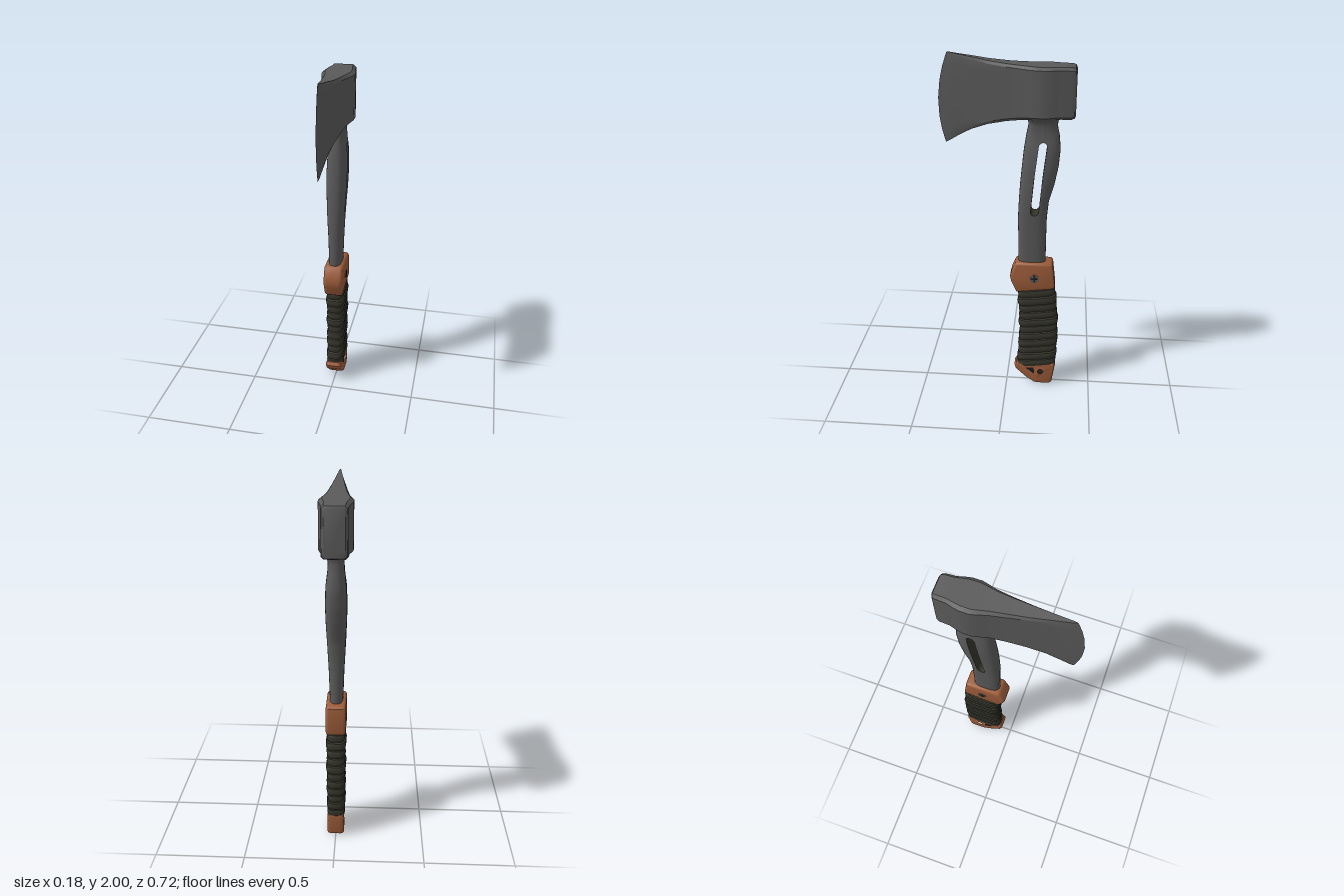
import * as THREE from 'three';
import { toCreasedNormals } from 'three/addons/utils/BufferGeometryUtils.js';

const mat = (name, color, extra = {}) =>
  Object.assign(new THREE.MeshStandardMaterial({ color, ...extra }), { name });

// Piecewise-linear lookup: table rows are [key, value, value, ...]
function at(table, k, col) {
  let i = 1;
  while (i < table.length - 1 && k > table[i][0]) i++;
  const a = table[i - 1], b = table[i];
  const t = THREE.MathUtils.clamp((k - a[0]) / (b[0] - a[0]), 0, 1);
  return a[col] + (b[col] - a[col]) * t;
}

// Skin a list of equal-length cross-sections, optionally closed and capped
function loft(rows, { closed = true, caps = false, crease = 0.6 } = {}) {
  const n = rows[0].length, pos = rows.flat(2), idx = [];
  for (let i = 0; i < rows.length - 1; i++)
    for (let j = 0; j < (closed ? n : n - 1); j++) {
      const a = i * n + j, b = i * n + (j + 1) % n;
      idx.push(a, b, b + n, a, b + n, a + n);
    }
  if (caps) {
    const last = (rows.length - 1) * n;
    for (let j = 1; j < n - 1; j++) idx.push(0, j + 1, j, last, last + j, last + j + 1);
  }
  const g = new THREE.BufferGeometry();
  g.setAttribute('position', new THREE.Float32BufferAttribute(pos, 3));
  g.setIndex(idx);
  return toCreasedNormals(g, crease);
}

// Side outline in (z, y), extruded symmetrically across x with rounded edges
function sidePlate(points, halfWidth, bevelSize, bevelThickness, hole) {
  const shape = new THREE.Shape(points.map(p => new THREE.Vector2(...p)));
  if (hole) shape.holes.push(new THREE.Path().absarc(hole[0], hole[1], hole[2], 0, Math.PI * 2, true));
  const depth = 2 * (halfWidth - bevelThickness);
  const g = new THREE.ExtrudeGeometry(shape, {
    depth, bevelEnabled: bevelSize > 0, bevelSize, bevelThickness,
    bevelOffset: -bevelSize, bevelSegments: 4, curveSegments: 20,
  });
  g.translate(0, 0, -depth / 2).rotateY(-Math.PI / 2);
  return toCreasedNormals(g, 0.7);
}

const superWidth = (w, u, n) => w * Math.pow(Math.max(0, 1 - Math.pow(Math.abs(u), n)), 1 / n);

// Axe head: sections from the poll to the cutting edge
function headGeometry() {
  // zBottom, zTop, edge bow, yBottom, yTop, half width
  const sections = [
    [-0.357, -0.357, 0, 1.69, 1.925, 0.052], [-0.35, -0.35, 0, 1.68, 1.938, 0.062],
    [-0.335, -0.335, 0, 1.675, 1.942, 0.068], [-0.28, -0.28, 0, 1.675, 1.943, 0.071],
    [-0.25, -0.25, 0, 1.674, 1.944, 0.08], [-0.21, -0.21, 0, 1.672, 1.944, 0.088],
    [-0.16, -0.16, 0, 1.672, 1.944, 0.088], [-0.12, -0.12, 0, 1.67, 1.945, 0.077],
    [-0.08, -0.08, 0, 1.668, 1.947, 0.066], [0, 0, 0, 1.657, 1.953, 0.053],
    [0.1, 0.1, 0, 1.635, 1.965, 0.038], [0.19, 0.185, 0.006, 1.602, 1.98, 0.024],
    [0.265, 0.25, 0.02, 1.56, 1.99, 0.013], [0.305, 0.287, 0.034, 1.535, 1.997, 0.007],
    [0.327, 0.308, 0.043, 1.522, 2.0, 0.0008],
  ];
  const rows = sections.map(([zb, zt, bow, yb, yt, w]) => {
    const c = 0.015 / (yt - yb);
    const side = [[0, 0.78], [c, 1], [0.15, 1], [0.3, 1], [0.5, 1], [0.7, 1], [0.85, 1], [1 - c, 1], [1, 0.78]];
    const point = (s, t, f) => [s * w * f, yb + (yt - yb) * t, zb + (zt - zb) * t + bow * 4 * t * (1 - t)];
    return [...side.map(([t, f]) => point(1, t, f)), ...side.reverse().map(([t, f]) => point(-1, t, f))];
  });
  return loft(rows, { caps: true, crease: 0.5 });
}

// Shaft: a front and a rear lobe that part around the long slot
function shaftGeometries() {
  // y, front z, back z, half width
  const table = [
    [0.78, -0.065, -0.22, 0.035], [1.0, -0.063, -0.22, 0.042], [1.1, -0.061, -0.221, 0.047],
    [1.2, -0.065, -0.23, 0.052], [1.3, -0.071, -0.258, 0.056], [1.4, -0.08, -0.277, 0.058],
    [1.5, -0.09, -0.285, 0.054], [1.58, -0.102, -0.277, 0.044], [1.63, -0.112, -0.266, 0.042],
    [1.655, -0.11, -0.269, 0.05], [1.675, -0.1, -0.28, 0.07], [1.69, -0.1, -0.28, 0.07],
  ];
  const y0 = 1.125, y1 = 1.545, r = 0.022, N = 14;
  const gap = y => {
    const d = Math.min(y - y0, y1 - y);
    return d <= 0 ? 0 : d < r ? Math.sqrt(r * r - (r - d) ** 2) : r;
  };
  const ys = table.map(q => q[0]);
  for (let i = 1; i < 10; i++) ys.push(y0 + (y1 - y0) * i / 10);
  for (const d of [0, 0.001, 0.004, 0.009, 0.015, r]) ys.push(y0 + d, y1 - d);
  ys.sort((a, b) => a - b);
  const lobes = { 1: [], '-1': [] }, walls = { 1: [], '-1': [] };
  for (const y of ys) {
    const zf = at(table, y, 1), zb = at(table, y, 2), w = at(table, y, 3);
    const mid = (zf + zb) / 2, half = (zf - zb) / 2;
    const centre = at([[y0, -0.152], [1.33, -0.17], [y1, -0.195]], y, 1);
    for (const s of [1, -1]) {
      const edge = centre + s * gap(y), end = s > 0 ? zf : zb, row = [];
      for (let j = 0; j <= N; j++) {
        const a = Math.PI * j / N, z = edge + (end - edge) * Math.sin(a);
        const x = j === N / 2 ? 0 : superWidth(w, (z - mid) / half, 2.7);
        row.push([-s * Math.sign(Math.cos(a)) * x, y, z]);
      }
      lobes[s].push(row);
      if (y >= y0 && y <= y1) walls[s].push([row[0], row[N]]);
    }
  }
  const open = { closed: false };
  return {
    lobes: [loft(lobes[1], open), loft(lobes[-1], open)],
    walls: [loft(walls[1], open), loft(walls[-1], open)],
  };
}

// Cord wrap: tilted, slightly uneven rounded bands
function wrapGeometry() {
  const table = [ // y, front z, back z, half width
    [0.12, -0.066, -0.29, 0.047], [0.25, -0.072, -0.298, 0.048], [0.4, -0.078, -0.298, 0.049],
    [0.52, -0.074, -0.29, 0.05], [0.66, -0.066, -0.275, 0.051],
  ];
  const bands = 11, step = 0.53 / bands, rows = [];
  for (let i = 0; i < bands; i++) {
    const uneven = 0.003 * Math.sin(i * 2.3);
    for (const [f, grow] of [[0, -0.009], [0.06, -0.001], [0.25, 0.003], [0.65, 0.004], [0.92, 0], [0.99, -0.009]]) {
      const y = 0.125 + (i + f) * step, row = [];
      const zf = at(table, y, 1), zb = at(table, y, 2), w = at(table, y, 3) + grow + uneven;
      const mid = (zf + zb) / 2, half = (zf - zb) / 2 + grow + uneven;
      for (let j = 0; j < 32; j++) {
        const a = Math.PI * 2 * j / 32, c = Math.cos(a), s = Math.sin(a);
        const x = w * Math.sign(c) * Math.pow(Math.abs(c), 0.5);
        const dz = -half * Math.sign(s) * Math.pow(Math.abs(s), 0.5);
        row.push([x, y - 0.13 * dz, mid + dz]);
      }
      rows.push(row);
    }
  }
  return loft(rows, { caps: true, crease: 0.7 });
}

export function createModel() {
  const group = new THREE.Group();
  const steel = mat('steel', 0x5a5a5b);
  const orange = mat('orange brown', 0x9c5c3a);
  const olive = mat('dark olive', 0x35352b, { side: THREE.DoubleSide });
  const dark = mat('near black', 0x1d1d1c);
  const add = (name, geometry, material) => {
    const m = new THREE.Mesh(geometry, material);
    m.name = name;
    group.add(m);
    return m;
  };

  add('axeHead', headGeometry(), steel);
  const shaft = shaftGeometries();
  shaft.lobes.forEach((g, i) => add(i ? 'shaftBack' : 'shaftFront', g, steel));
  shaft.walls.forEach((g, i) => add(i ? 'slotWallBack' : 'slotWallFront', g, olive));
  add('gripWrap', wrapGeometry(), olive);

  // Collar above the grip
  add('collar', sidePlate([
    [-0.058, 0.64], [-0.028, 0.705], [-0.02, 0.74], [-0.028, 0.772], [-0.048, 0.822], [-0.06, 0.832],
    [-0.25, 0.832], [-0.262, 0.822], [-0.278, 0.685], [-0.272, 0.668],
  ], 0.055, 0.016, 0.018), orange);

  // Pommel with lanyard hole
  const hole = [-0.205, 0.088];
  add('pommel', sidePlate([
    [-0.06, 0.145], [-0.048, 0.125], [-0.055, 0.1], [-0.115, 0.042], [-0.168, 0.004], [-0.185, 0],
    [-0.258, 0], [-0.276, 0.012], [-0.294, 0.13], [-0.29, 0.152],
  ], 0.047, 0.012, 0.022, [...hole, 0.028]), orange);
  const liner = new THREE.LatheGeometry(
    [[0.025, -0.034], [0.034, -0.034], [0.034, 0.034], [0.025, 0.034], [0.025, -0.034]]
      .map(p => new THREE.Vector2(...p)), 24);
  const eyelet = add('lanyardEyelet', toCreasedNormals(liner.rotateZ(Math.PI / 2), 0.6), dark);
  eyelet.position.set(0, hole[1], hole[0]);

  // Screws and lanyard notches on both sides
  for (const s of [1, -1]) {
    const head = add('screwHead', new THREE.CylinderGeometry(0.026, 0.026, 0.008, 24).rotateZ(Math.PI / 2), steel);
    head.position.set(s * 0.053, 0.735, -0.16);
    for (const size of [[0.04, 0.009], [0.009, 0.04]]) {
      const slot = add('screwSlot', new THREE.BoxGeometry(0.003, ...size), dark);
      slot.position.set(s * 0.0565, 0.735, -0.16);
    }
    const notch = add('lanyardNotch', sidePlate(
      [[-0.115, 0.113], [-0.165, 0.116], [-0.17, 0.07]], 0.002, 0, 0), dark);
    notch.position.x = s * 0.046;
  }
  return group;
}
